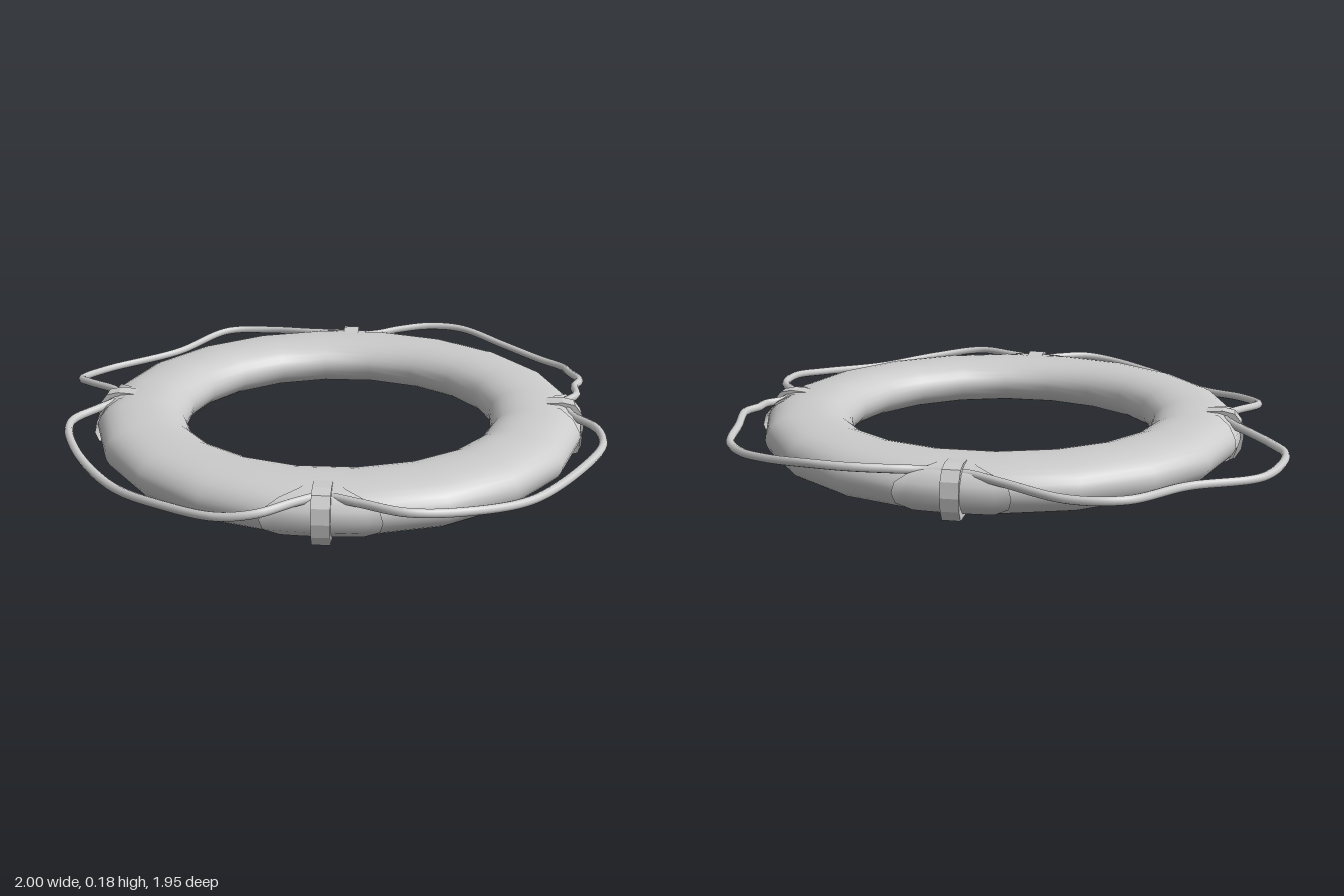
import * as THREE from 'three';

const material = new THREE.MeshStandardMaterial({ color: 0xcccccc });
const padMaterial = new THREE.MeshStandardMaterial({ color: 0xcccccc, side: THREE.DoubleSide });
const CENTRE = [0.026, 0, 0.015];

function add(parent, name, geometry, mat = material) {
  const mesh = new THREE.Mesh(geometry, mat);
  mesh.name = name;
  parent.add(mesh);
  return mesh;
}

// Flattened round section revolved in 20 sides
function ringGeometry() {
  const section = [
    [0.70, 0.005], [0.77, 0.008], [0.82, 0.022], [0.852, 0.05], [0.865, 0.088],
    [0.856, 0.12], [0.828, 0.149], [0.78, 0.168], [0.71, 0.175], [0.645, 0.171],
    [0.592, 0.152], [0.561, 0.122], [0.55, 0.088], [0.563, 0.05], [0.60, 0.02], [0.65, 0.008],
  ].map(([r, y]) => new THREE.Vector3(r, y, 0));
  const points = new THREE.CatmullRomCurve3(section, true).getPoints(32);
  return new THREE.LatheGeometry(points.map(p => new THREE.Vector2(p.x, p.y)), 20);
}

// Flared reinforcing patch wrapped round the outer edge; rows are [radius, y, half width]
function padGeometry() {
  const rows = [
    [0.72, 0.174, 0.03], [0.79, 0.168, 0.07], [0.832, 0.152, 0.13], [0.86, 0.12, 0.18],
    [0.867, 0.085, 0.19], [0.856, 0.05, 0.18], [0.822, 0.02, 0.13], [0.76, 0.005, 0.07], [0.70, 0.003, 0.04],
  ];
  const geo = new THREE.PlaneGeometry(1, 1, 8, rows.length - 1);
  const pos = geo.attributes.position;
  for (let i = 0; i < pos.count; i++) {
    const [r, y, half] = rows[Math.floor(i / 9)];
    const s = -pos.getX(i) * 2 * half;
    pos.setXYZ(i, r - 0.4 * s * s, y, s);
  }
  geo.computeVertexNormals();
  return geo;
}

// Strap gripping the rope and the outer half of the ring
function strapGeometry() {
  const outline = [
    [0.73, 0.172], [0.80, 0.177], [0.842, 0.168], [0.868, 0.135], [0.877, 0.085], [0.87, 0.04],
    [0.848, 0.004], [0.70, 0], [0.70, 0.03], [0.80, 0.06], [0.80, 0.11], [0.73, 0.15],
  ].map(p => new THREE.Vector2(...p));
  const geo = new THREE.ExtrudeGeometry(new THREE.Shape(outline), { depth: 0.06, bevelEnabled: false });
  return geo.translate(0, 0, -0.03);
}

// Slack grab line threaded through all four straps
function ropeGeometry() {
  const points = [
    // back
    [-0.535, 0.148, -0.567], [-0.476, 0.15, -0.62], [-0.43, 0.16, -0.72], [-0.36, 0.168, -0.83],
    [-0.25, 0.165, -0.91], [-0.05, 0.135, -0.95], [0.14, 0.115, -0.968], [0.25, 0.12, -0.955],
    [0.35, 0.14, -0.88], [0.465, 0.155, -0.80], [0.49, 0.155, -0.74], [0.545, 0.15, -0.685],
    [0.556, 0.148, -0.615],
    // left
    [0.60, 0.148, -0.56], [0.66, 0.147, -0.52], [0.79, 0.147, -0.49], [0.90, 0.145, -0.39],
    [0.95, 0.13, -0.24], [0.982, 0.11, 0.05], [0.94, 0.13, 0.29], [0.85, 0.15, 0.47], [0.70, 0.15, 0.535],
    // front
    [0.595, 0.148, 0.582], [0.57, 0.147, 0.67], [0.545, 0.14, 0.80], [0.46, 0.125, 0.88],
    [0.25, 0.105, 0.935], [-0.02, 0.085, 0.955], [-0.29, 0.115, 0.92], [-0.465, 0.14, 0.83],
    [-0.50, 0.147, 0.695], [-0.515, 0.148, 0.62],
    // right
    [-0.545, 0.148, 0.577], [-0.61, 0.147, 0.55], [-0.80, 0.125, 0.545], [-0.90, 0.11, 0.525],
    [-0.983, 0.088, 0.35], [-0.945, 0.1, 0.05], [-0.983, 0.12, -0.24], [-0.88, 0.122, -0.375],
    [-0.69, 0.138, -0.47], [-0.585, 0.148, -0.525],
  ].map(p => new THREE.Vector3(...p));
  return new THREE.TubeGeometry(new THREE.CatmullRomCurve3(points, true), 260, 0.015, 8, true);
}

export function createModel() {
  const model = new THREE.Group();
  model.name = 'lifebuoy';
  add(model, 'floatRing', ringGeometry()).position.set(...CENTRE);

  // Four strap fittings on the diagonals
  const strap = strapGeometry();
  const pad = padGeometry();
  for (let i = 0; i < 4; i++) {
    const fitting = new THREE.Group();
    fitting.name = 'strapFitting' + (i + 1);
    fitting.position.set(...CENTRE);
    fitting.rotation.y = Math.PI / 4 + i * Math.PI / 2;
    add(fitting, 'strap', strap);
    add(fitting, 'reinforcingPad', pad, padMaterial);
    model.add(fitting);
  }

  add(model, 'grabRope', ropeGeometry());
  return model;
}
